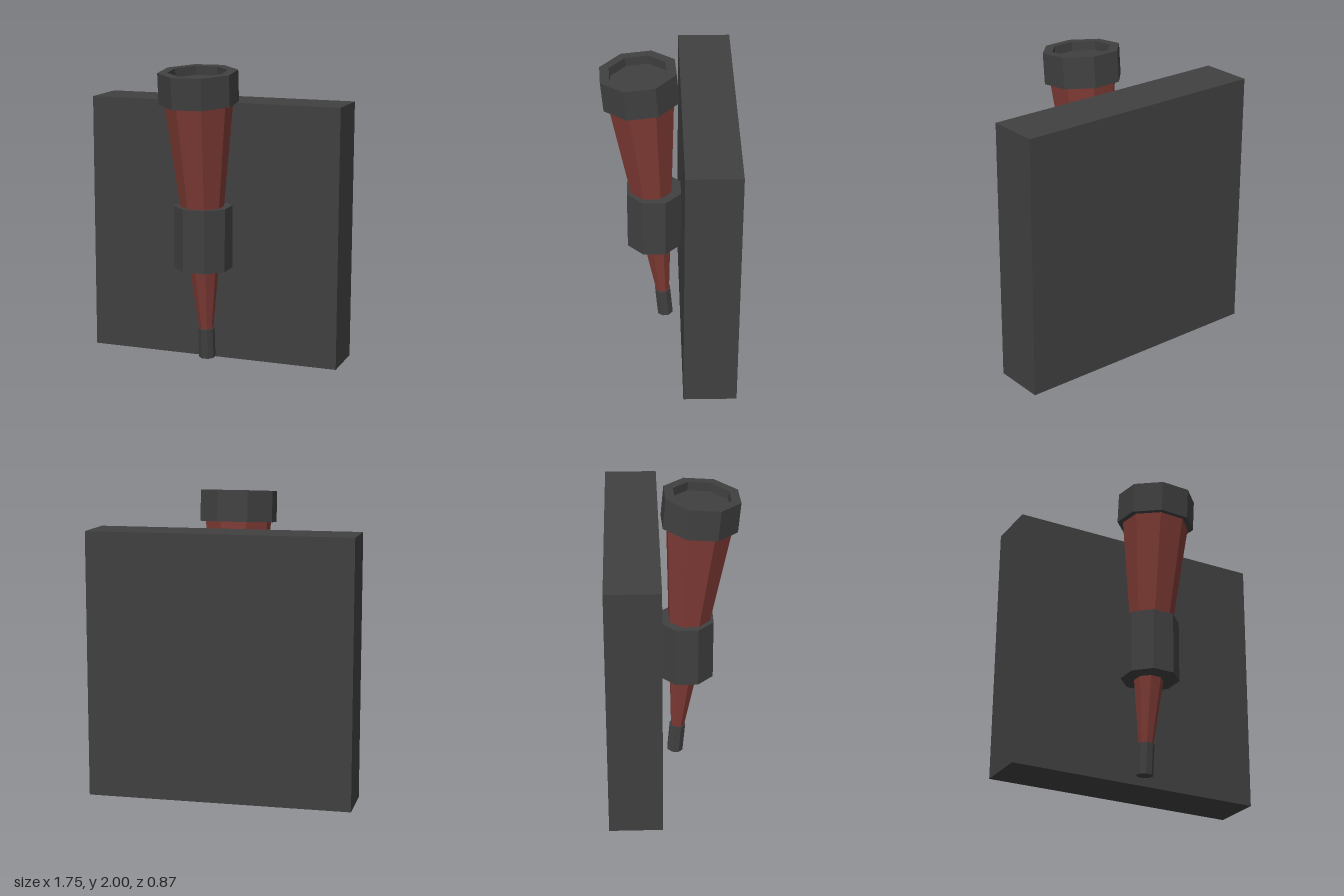
import * as THREE from 'three';

export function createModel() {
  const root = new THREE.Group();
  root.name = 'wallTorch';

  const iron = new THREE.MeshStandardMaterial({ color: 0x404040, flatShading: true });
  iron.name = 'darkIron';
  const wood = new THREE.MeshStandardMaterial({ color: 0x803b35, flatShading: true });
  wood.name = 'redWood';

  const SIDES = 8;
  const add = (parent, name, geometry, material, x, y, z) => {
    const mesh = new THREE.Mesh(geometry, material);
    mesh.name = name;
    mesh.position.set(x, y, z);
    parent.add(mesh);
    return mesh;
  };

  // Square wall plate
  add(root, 'wallPlate', new THREE.BoxGeometry(1.746, 1.752, 0.35), iron, 0, 0.876, -0.258);

  // Upright octagonal holder, one flat resting against the plate
  const holder = add(root, 'holderRing', new THREE.CylinderGeometry(0.193, 0.193, 0.42, SIDES), iron, 0, 0.877, 0.096);
  holder.rotation.y = Math.PI / 8;

  // Torch leaning away from the wall, built along its own axis
  const torch = new THREE.Group();
  torch.name = 'torch';
  torch.position.set(0, 0.031, 0.022);
  torch.rotation.x = THREE.MathUtils.degToRad(5);
  root.add(torch);
  const twist = THREE.MathUtils.degToRad(25);

  // Tapered handle
  add(torch, 'handle', new THREE.CylinderGeometry(0.224, 0.047, 1.56, SIDES), wood, 0, 0.98, 0);

  // Foot cap
  add(torch, 'footCap', new THREE.CylinderGeometry(0.056, 0.056, 0.208, SIDES), iron, 0, 0.104, 0);

  // Head with a shallow recessed bowl
  const headProfile = [
    [0, 0], [0.26, 0], [0.26, 0.206], [0.195, 0.206], [0.195, 0.146], [0, 0.146],
  ].map(([r, y]) => new THREE.Vector2(r, y));
  add(torch, 'headBowl', new THREE.LatheGeometry(headProfile, SIDES), iron, 0, 1.751, 0);

  for (const part of torch.children) part.rotation.y = twist;

  return root;
}
